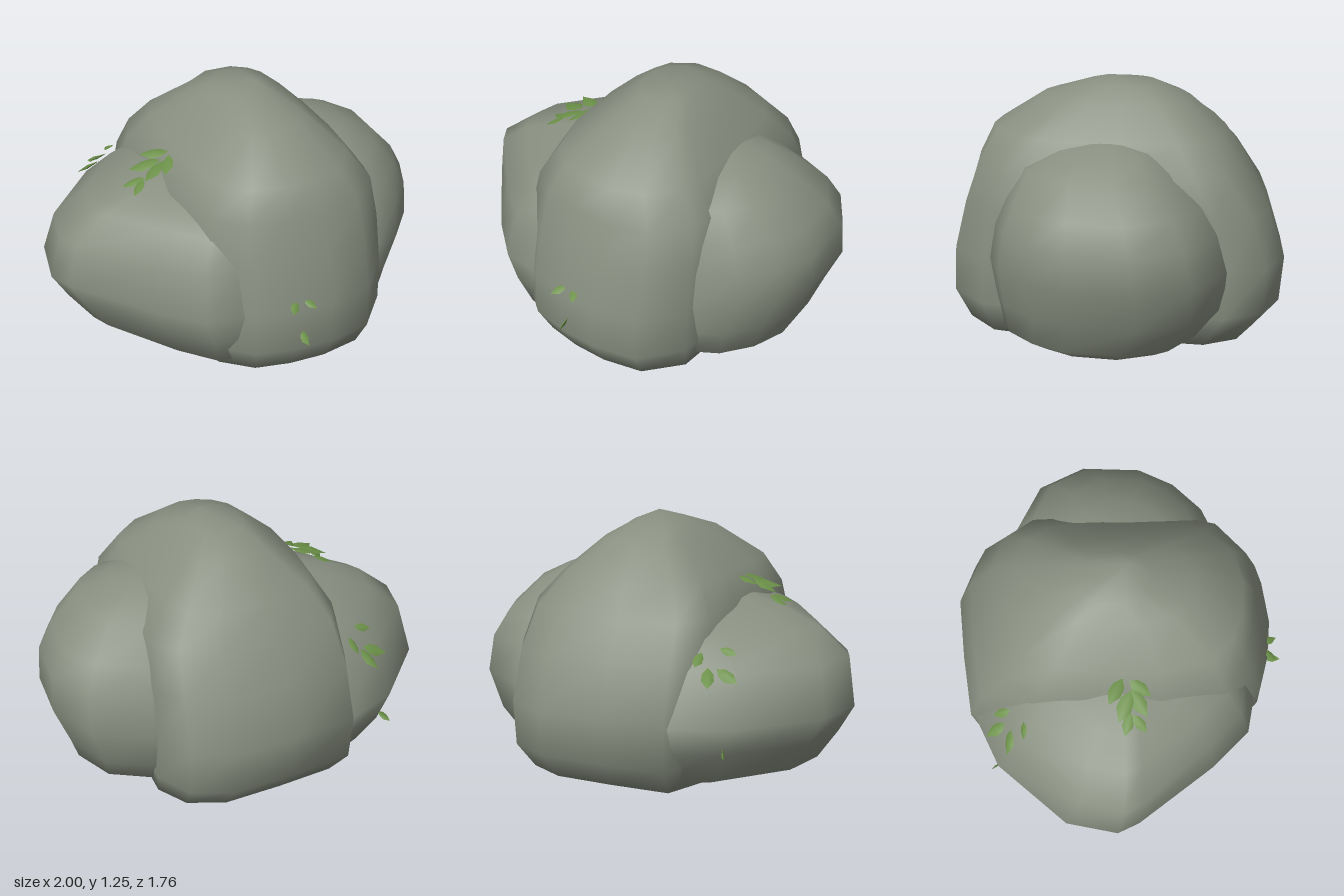
import * as THREE from 'three';

// Boulder: a unit plan outline fitted to the extents [y, x0, x1, z0, z1] of each level.
// The optional sixth value rounds the outline towards an ellipse.
function boulderGeometry(plan, levels, apex) {
  const pos = [], index = [], n = plan.length;
  for (const [y, x0, x1, z0, z1, round = 0] of levels) {
    for (const [u, v] of plan) {
      const s = 1 - round + round / Math.hypot(u, v);
      pos.push((x0 + x1) / 2 + s * u * (x1 - x0) / 2, y, (z0 + z1) / 2 + s * v * (z1 - z0) / 2);
    }
  }
  const top = levels.length * n, centre = top + 1;
  const [, x0, x1, z0, z1] = levels[0];
  pos.push(...apex, (x0 + x1) / 2, 0, (z0 + z1) / 2);
  for (let i = 0; i < n; i++) {
    const j = (i + 1) % n;
    for (let k = 0; k < levels.length - 1; k++) {
      const a = k * n + i, b = k * n + j;
      index.push(a, a + n, b, b, a + n, b + n);
    }
    index.push(top - n + i, top, top - n + j);
    index.push(i, j, centre);
  }
  const g = new THREE.BufferGeometry();
  g.setAttribute('position', new THREE.Float32BufferAttribute(pos, 3));
  g.setIndex(index);
  g.computeVertexNormals();
  return g;
}

// Pointed leaf, folded along its midrib, from stem to tip.
function leafGeometry(stem, tip, up) {
  const a = new THREE.Vector3(...stem), dir = new THREE.Vector3(...tip).sub(a);
  const len = dir.length();
  dir.normalize();
  const side = new THREE.Vector3(...up).cross(dir).normalize();
  const normal = dir.clone().cross(side);
  const g = new THREE.BufferGeometry();
  const outline = [[0, 0, 0], [-0.2, -0.02, 0.27], [-0.23, -0.05, 0.6], [0, 0, 1], [0.23, -0.05, 0.6], [0.2, -0.02, 0.27], [0, 0.07, 0.5]];
  g.setAttribute('position', new THREE.Float32BufferAttribute(outline.flat(), 3));
  const index = [];
  for (let i = 0; i < 6; i++) index.push(6, (i + 1) % 6, i);
  g.setIndex(index);
  g.scale(len, len, len);
  g.applyMatrix4(new THREE.Matrix4().makeBasis(side, normal, dir).setPosition(a));
  g.computeVertexNormals();
  return g;
}

export function createModel() {
  const model = new THREE.Group();
  model.name = 'boulders';
  const stone = new THREE.MeshStandardMaterial({ color: 0x899081 });
  stone.name = 'stone grey';
  const green = new THREE.MeshStandardMaterial({ color: 0x6b9048, side: THREE.DoubleSide });
  green.name = 'leaf green';

  const addBoulder = (name, plan, levels, apex) => {
    const mesh = new THREE.Mesh(boulderGeometry(plan, levels, apex), stone);
    mesh.name = name;
    model.add(mesh);
  };

  // tall middle boulder
  addBoulder('middleBoulder', [
    [-1, -0.25], [-0.98, -0.62], [-0.82, -0.9], [-0.2, -0.96], [0.41, -1], [0.8, -0.91], [1, -0.7], [1, -0.2],
    [1, 0.25], [1, 0.52], [0.95, 0.74], [0.61, 0.96], [0.18, 1], [-0.2, 0.98], [-0.57, 0.92], [-0.87, 0.75], [-1, 0.3],
  ], [
    [0, -0.4, 0.56, -0.73, 0.74],
    [0.15, -0.45, 0.59, -0.86, 0.82],
    [0.38, -0.46, 0.59, -0.88, 0.81],
    [0.63, -0.45, 0.59, -0.8, 0.75, 0.05],
    [0.83, -0.43, 0.58, -0.68, 0.69, 0.2],
    [0.98, -0.34, 0.48, -0.57, 0.62, 0.4],
    [1.14, -0.155, 0.32, -0.38, 0.37, 0.7],
    [1.205, -0.06, 0.22, -0.22, 0.15, 1],
  ], [0.13, 1.245, 0.03]);

  // low boulder on the -x side
  addBoulder('rightBoulder', [
    [-1, 0], [-0.92, -0.34], [-0.45, -0.8], [0, -0.98], [0.5, -1], [1, -0.6],
    [1, 0.5], [0.5, 0.85], [0.15, 0.93], [-0.17, 0.88], [-0.46, 0.64], [-0.92, 0.14],
  ], [
    [0, -0.66, 0.2, -0.55, 0.6],
    [0.06, -0.8, 0.25, -0.68, 0.7],
    [0.23, -0.92, 0.3, -0.78, 0.76],
    [0.37, -1, 0.3, -0.8, 0.77],
    [0.61, -0.95, 0.3, -0.66, 0.7],
    [0.74, -0.78, 0.25, -0.55, 0.6],
    [0.81, -0.6, 0.2, -0.42, 0.48],
    [0.86, -0.43, 0.1, -0.27, 0.3],
  ], [-0.2, 0.89, 0]);

  // rounded boulder on the +x side
  addBoulder('leftBoulder', [
    [-1, -0.4], [-0.6, -0.9], [0.22, -1], [0.76, -0.76], [1, -0.33], [0.98, 0.23],
    [0.8, 0.57], [0.5, 0.85], [0.14, 1], [-0.6, 0.9], [-1, 0.4],
  ], [
    [0, 0.1, 0.8, -0.38, 0.4],
    [0.05, 0.05, 0.87, -0.48, 0.51],
    [0.2, 0, 0.92, -0.6, 0.54],
    [0.4, 0, 1, -0.62, 0.55],
    [0.58, 0, 0.99, -0.57, 0.52],
    [0.71, 0.05, 0.92, -0.49, 0.47],
    [0.86, 0.08, 0.78, -0.35, 0.4],
    [0.94, 0.2, 0.62, -0.24, 0.24],
    [0.975, 0.3, 0.5, -0.12, 0.1],
  ], [0.42, 0.985, 0]);

  // sprigs: a facing direction and [stem, tip, own facing] for each leaf
  const sprigs = {
    topSprig: [[-0.4, 1, 0], [
      [[-0.35, 0.95, 0.01], [-0.48, 0.93, -0.06]],
      [[-0.41, 0.94, 0.05], [-0.56, 0.89, -0.01]],
      [[-0.36, 0.95, 0.04], [-0.43, 0.91, 0.15]],
      [[-0.4, 0.93, 0.05], [-0.53, 0.89, 0.13]],
      [[-0.5, 0.86, 0.05], [-0.61, 0.82, 0.02]],
      [[-0.51, 0.86, 0.06], [-0.59, 0.82, 0.13]],
    ]],
    backSprig: [[-0.4, 0.7, -0.7], [
      [[-0.49, 0.64, -0.59], [-0.54, 0.57, -0.69]],
      [[-0.52, 0.63, -0.56], [-0.64, 0.58, -0.58]],
      [[-0.5, 0.71, -0.49], [-0.59, 0.69, -0.49]],
      [[-0.44, 0.7, -0.56], [-0.45, 0.65, -0.65]],
      [[-0.59, 0.27, -0.63], [-0.63, 0.24, -0.69], [-0.64, -0.13, 0.49]],
    ]],
    frontSprig: [[0, 1, 0.6], [
      [[-0.02, 0.43, 0.77], [-0.07, 0.4, 0.84]],
      [[0.02, 0.43, 0.77], [0.06, 0.4, 0.84]],
      [[0, 0.25, 0.79], [0, 0.22, 0.88], [0.69, -0.48, -0.15]],
    ]],
  };
  for (const [name, [up, leaves]] of Object.entries(sprigs)) {
    const sprig = new THREE.Group();
    sprig.name = name;
    for (const [stem, tip, ownUp] of leaves) {
      const leaf = new THREE.Mesh(leafGeometry(stem, tip, ownUp ?? up), green);
      leaf.name = 'leaf';
      sprig.add(leaf);
    }
    model.add(sprig);
  }
  return model;
}
